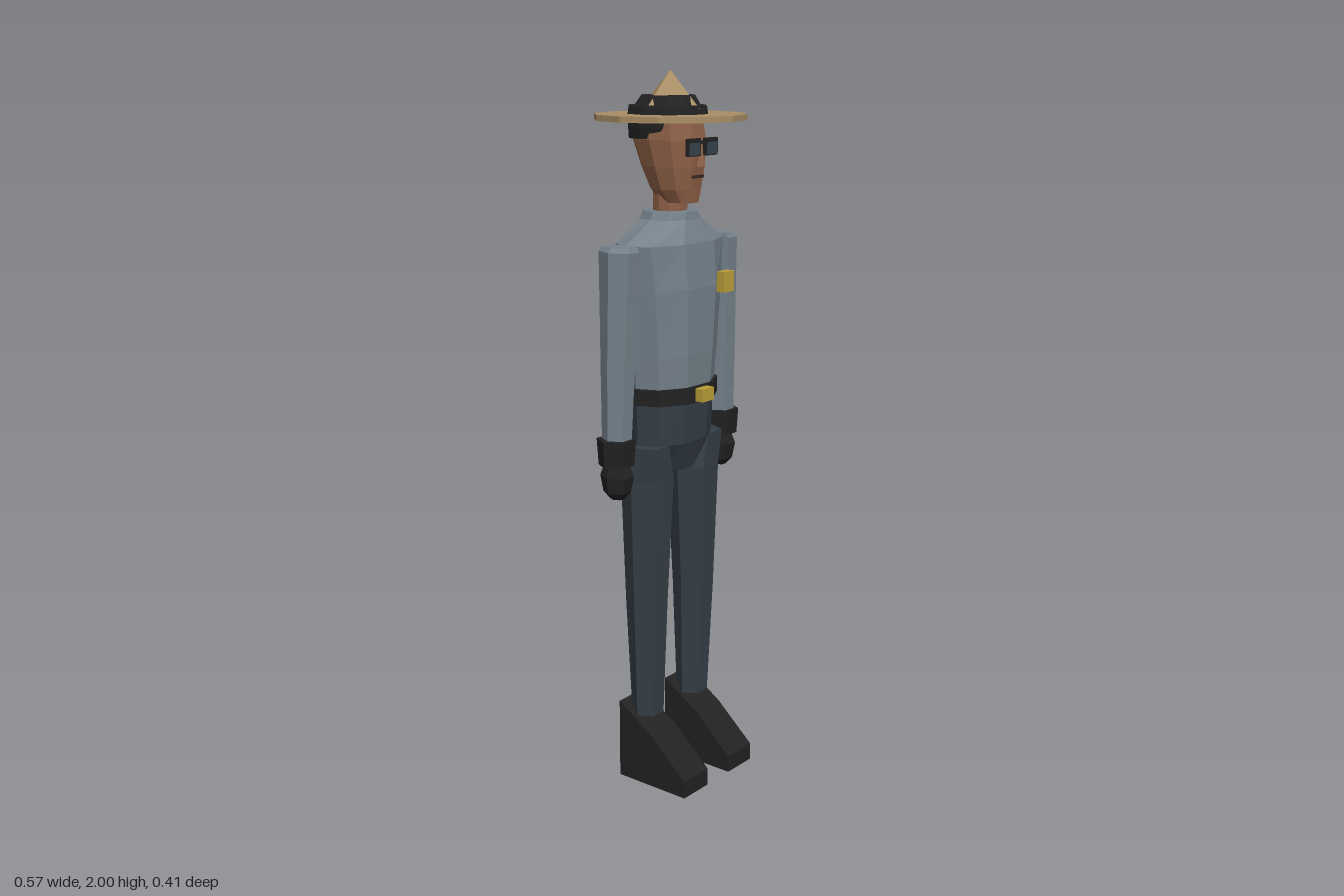
import * as THREE from 'three';

const mat = (name, color) => {
  const m = new THREE.MeshStandardMaterial({ color });
  m.name = name;
  return m;
};

// Cross-sections as unit (x, z) loops, counter-clockwise from above
const BODY = [[-0.35, 1], [0.35, 1], [0.83, 0.6], [1, 0], [0.83, -0.6],
  [0.35, -1], [-0.35, -1], [-0.83, -0.6], [-1, 0], [-0.83, 0.6]];
const LIMB = [[-0.5, 1], [0.5, 1], [1, 0], [0.5, -1], [-0.5, -1], [-1, 0]];

// Faceted solid through rings [y, halfWidth, halfDepth, centreX, centreZ], bottom to top
function loft(section, rings) {
  const loops = rings.map(([y, w, d, cx = 0, cz = 0]) =>
    section.map(([x, z]) => [cx + x * w, y, cz + z * d]));
  const centre = ([y, , , cx = 0, cz = 0]) => [cx, y, cz];
  const pos = [];
  const tri = (a, b, c) => pos.push(...a, ...b, ...c);
  const n = section.length, last = loops.length - 1;
  for (let j = 0; j < n; j++) {
    const k = (j + 1) % n;
    for (let i = 0; i < last; i++) {
      tri(loops[i][j], loops[i][k], loops[i + 1][k]);
      tri(loops[i][j], loops[i + 1][k], loops[i + 1][j]);
    }
    tri(centre(rings[0]), loops[0][k], loops[0][j]);
    tri(centre(rings[last]), loops[last][j], loops[last][k]);
  }
  const g = new THREE.BufferGeometry();
  g.setAttribute('position', new THREE.Float32BufferAttribute(pos, 3));
  g.computeVertexNormals();
  return g;
}

function flat(geometry) {
  const g = geometry.index ? geometry.toNonIndexed() : geometry;
  g.computeVertexNormals();
  return g;
}

export function createModel() {
  const shirt = mat('shirt grey', 0x76828c);
  const trousers = mat('trouser blue', 0x353f47);
  const black = mat('black', 0x222222);
  const skin = mat('skin', 0x8f6147);
  const straw = mat('hat tan', 0xa98e66);
  const gold = mat('gold', 0xbc9f38);
  const glass = mat('lens blue', 0x36434e);
  const mouthColour = mat('mouth brown', 0x3a2620);

  const model = new THREE.Group();
  model.name = 'uniformedOfficer';
  const add = (name, geometry, material) => {
    const m = new THREE.Mesh(geometry, material);
    m.name = name;
    model.add(m);
    return m;
  };
  const box = (name, w, h, d, x, y, z, material) =>
    add(name, new THREE.BoxGeometry(w, h, d).translate(x, y, z), material);

  // Torso, belt and hips
  add('shirtTorso', loft(BODY, [
    [1.13, 0.145, 0.098], [1.25, 0.155, 0.106], [1.43, 0.175, 0.114, 0, -0.003],
    [1.55, 0.19, 0.1], [1.61, 0.085, 0.078], [1.632, 0.075, 0.075],
  ]), shirt);
  add('belt', loft(BODY, [[1.115, 0.157, 0.108], [1.16, 0.157, 0.108]]), black);
  add('hips', loft(BODY, [
    [0.915, 0.07, 0.07, 0, -0.01], [1.0, 0.143, 0.088], [1.12, 0.145, 0.096],
  ]), trousers);
  box('beltBuckle', 0.05, 0.036, 0.027, 0, 1.137, 0.12, gold);
  box('badge', 0.046, 0.056, 0.025, 0.088, 1.438, 0.123, gold);

  // Neck and head
  add('neck', loft(BODY, [[1.6, 0.048, 0.045], [1.72, 0.05, 0.045]]), skin);
  add('head', loft(BODY, [
    [1.655, 0.042, 0.055, 0, 0.03], [1.69, 0.062, 0.07, 0, 0.018],
    [1.75, 0.076, 0.088, 0, 0.008], [1.82, 0.085, 0.102, 0, -0.004],
    [1.875, 0.08, 0.095, 0, -0.006],
  ]), skin);
  const nose = add('nose', flat(new THREE.ConeGeometry(0.018, 0.06, 4)), skin);
  nose.position.set(0, 1.782, 0.103);
  box('mouth', 0.05, 0.008, 0.008, 0, 1.725, 0.092, mouthColour);
  add('hair', loft(BODY, [
    [1.822, 0.088, 0.085, 0, -0.032], [1.85, 0.092, 0.094, 0, -0.026],
    [1.875, 0.092, 0.096, 0, -0.024],
  ]), black);

  // Sunglasses
  for (const s of [-1, 1]) {
    box('lensFrame', 0.052, 0.046, 0.01, s * 0.037, 1.803, 0.107, black);
    box('lens', 0.044, 0.032, 0.006, s * 0.037, 1.799, 0.111, glass);
  }
  box('glassesBridge', 0.03, 0.008, 0.008, 0, 1.815, 0.111, black);

  // Wide-brimmed hat
  const brim = add('hatBrim', flat(new THREE.CylinderGeometry(0.207, 0.207, 0.016, 12)), straw);
  brim.position.y = 1.878;
  add('hatBand', loft(BODY, [
    [1.88, 0.107, 0.109, 0, -0.009], [1.908, 0.102, 0.105, 0, -0.009],
    [1.91, 0.085, 0.088, 0, -0.009], [1.935, 0.07, 0.072, 0, -0.006],
  ]), black);
  const crown = add('hatCrown', flat(new THREE.ConeGeometry(0.1, 0.1, 4)), straw);
  crown.position.y = 1.95;

  // Boot profile: forward distance against height
  const profile = new THREE.Shape([
    [-0.06, 0], [0.178, 0], [0.178, 0.05], [0.06, 0.155], [-0.06, 0.232],
  ].map(([z, y]) => new THREE.Vector2(z, y)));

  // Arms, gloves, legs and boots on both sides
  for (const s of [-1, 1]) {
    const side = s > 0 ? 'left' : 'right';
    add(side + 'Sleeve', loft(LIMB, [
      [1.02, 0.038, 0.036, s * 0.23], [1.235, 0.043, 0.042, s * 0.223],
      [1.4, 0.042, 0.047, s * 0.219], [1.54, 0.042, 0.052, s * 0.215],
      [1.552, 0.036, 0.046, s * 0.21],
    ]), shirt);
    add(side + 'GloveCuff', loft(LIMB, [
      [0.965, 0.05, 0.042, s * 0.232], [1.038, 0.053, 0.047, s * 0.232],
    ]), black);
    add(side + 'Glove', loft(LIMB, [
      [0.87, 0.018, 0.018, s * 0.23], [0.89, 0.036, 0.034, s * 0.23],
      [0.935, 0.042, 0.042, s * 0.23], [0.97, 0.03, 0.03, s * 0.23],
    ]), black);
    add(side + 'TrouserLeg', loft(LIMB, [
      [0.2, 0.047, 0.039, s * 0.103], [0.54, 0.056, 0.053, s * 0.106],
      [0.9, 0.07, 0.066, s * 0.102], [1.0, 0.06, 0.068, s * 0.12],
    ]), trousers);
    const boot = new THREE.ExtrudeGeometry(profile, { depth: 0.108, bevelEnabled: false });
    boot.rotateY(-Math.PI / 2).translate(0.054 + s * 0.104, 0, 0);
    add(side + 'Boot', boot, black);
  }
  return model;
}
